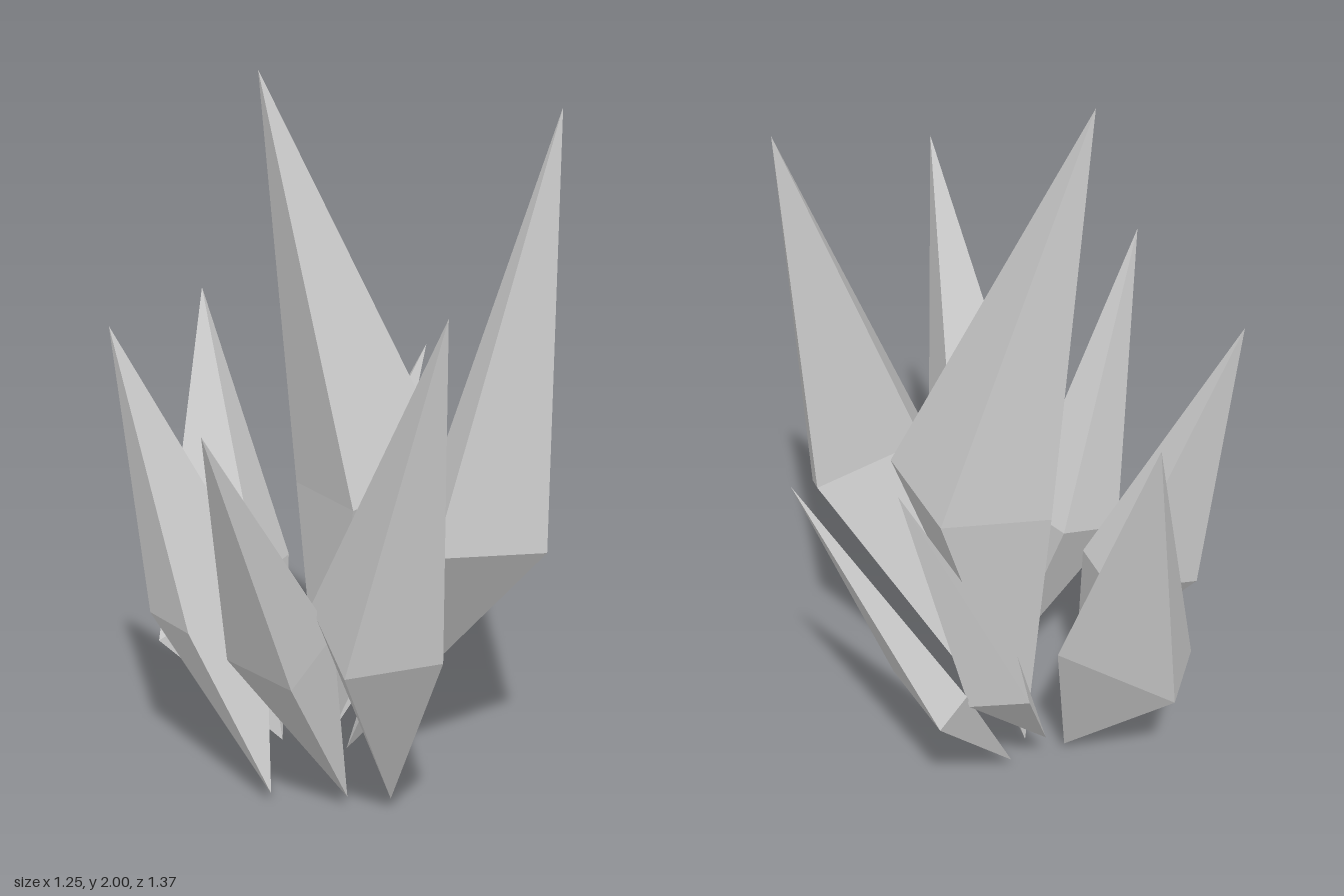
import * as THREE from 'three';

// Each shard: foot point, tip point, and the four shoulder corners (counterclockwise from above).
const SHARDS = {
  tallShard: {
    foot: [-0.06, 0, -0.165], tip: [-0.21, 2, -0.21],
    ring: [[0.26, 0.9, 0.055], [0.22, 0.88, -0.27], [-0.1, 0.82, -0.245], [-0.06, 0.84, 0.08]],
  },
  leftShard: {
    foot: [-0.01, 0.04, -0.095], tip: [0.535, 1.9, 0.095],
    ring: [[0.425, 0.72, 0.287], [0.47, 0.857, 0.05], [0.15, 0.9, 0.12], [0.065, 0.775, 0.335]],
  },
  frontShard: {
    foot: [-0.01, 0.035, 0.23], tip: [-0.06, 1.54, 0.685],
    ring: [[0.005, 0.567, 0.535], [0, 0.66, 0.31], [-0.235, 0.64, 0.21], [-0.25, 0.545, 0.485]],
  },
  rightShard: {
    foot: [-0.305, 0.035, 0.075], tip: [-0.625, 1.33, -0.265],
    ring: [[-0.25, 0.585, -0.1], [-0.26, 0.58, -0.295], [-0.545, 0.5, -0.23], [-0.5, 0.507, -0.03]],
  },
  backShard: {
    foot: [-0.15, 0.025, -0.247], tip: [-0.22, 1.29, -0.685],
    ring: [[-0.205, 0.53, -0.28], [-0.05, 0.52, -0.445], [-0.36, 0.345, -0.535], [-0.485, 0.355, -0.35]],
  },
  frontRightShard: {
    foot: [-0.117, 0.035, 0.175], tip: [-0.62, 1.25, 0.48],
    ring: [[-0.34, 0.465, 0.335], [-0.175, 0.55, 0.22], [-0.23, 0.58, 0], [-0.44, 0.48, 0.115]],
  },
  outerBackLeftShard: {
    foot: [0.015, 0.02, -0.26], tip: [0.62, 1.11, -0.285],
    ring: [[0.365, 0.455, -0.292], [0.3, 0.395, -0.5], [0.215, 0.465, -0.47], [0.28, 0.52, -0.285]],
  },
  innerBackLeftShard: {
    foot: [-0.07, 0.12, -0.31], tip: [0.38, 1.12, -0.43],
    ring: [[0.195, 0.48, -0.33], [0.205, 0.42, -0.46], [0.07, 0.475, -0.56], [0.06, 0.535, -0.43]],
  },
};

// Skewed bipyramid: one triangle up to the tip and one down to the foot per shoulder edge
function shardGeometry({ foot, tip, ring }) {
  const positions = [];
  ring.forEach((a, i) => {
    const b = ring[(i + 1) % ring.length];
    positions.push(...a, ...b, ...tip, ...b, ...a, ...foot);
  });
  const geometry = new THREE.BufferGeometry();
  geometry.setAttribute('position', new THREE.Float32BufferAttribute(positions, 3));
  geometry.computeVertexNormals();
  return geometry;
}

export function createModel() {
  const group = new THREE.Group();
  group.name = 'crystalCluster';
  const material = new THREE.MeshStandardMaterial({ color: 0xcccccc, flatShading: true });
  for (const [name, shard] of Object.entries(SHARDS)) {
    const mesh = new THREE.Mesh(shardGeometry(shard), material);
    mesh.name = name;
    group.add(mesh);
  }
  return group;
}
